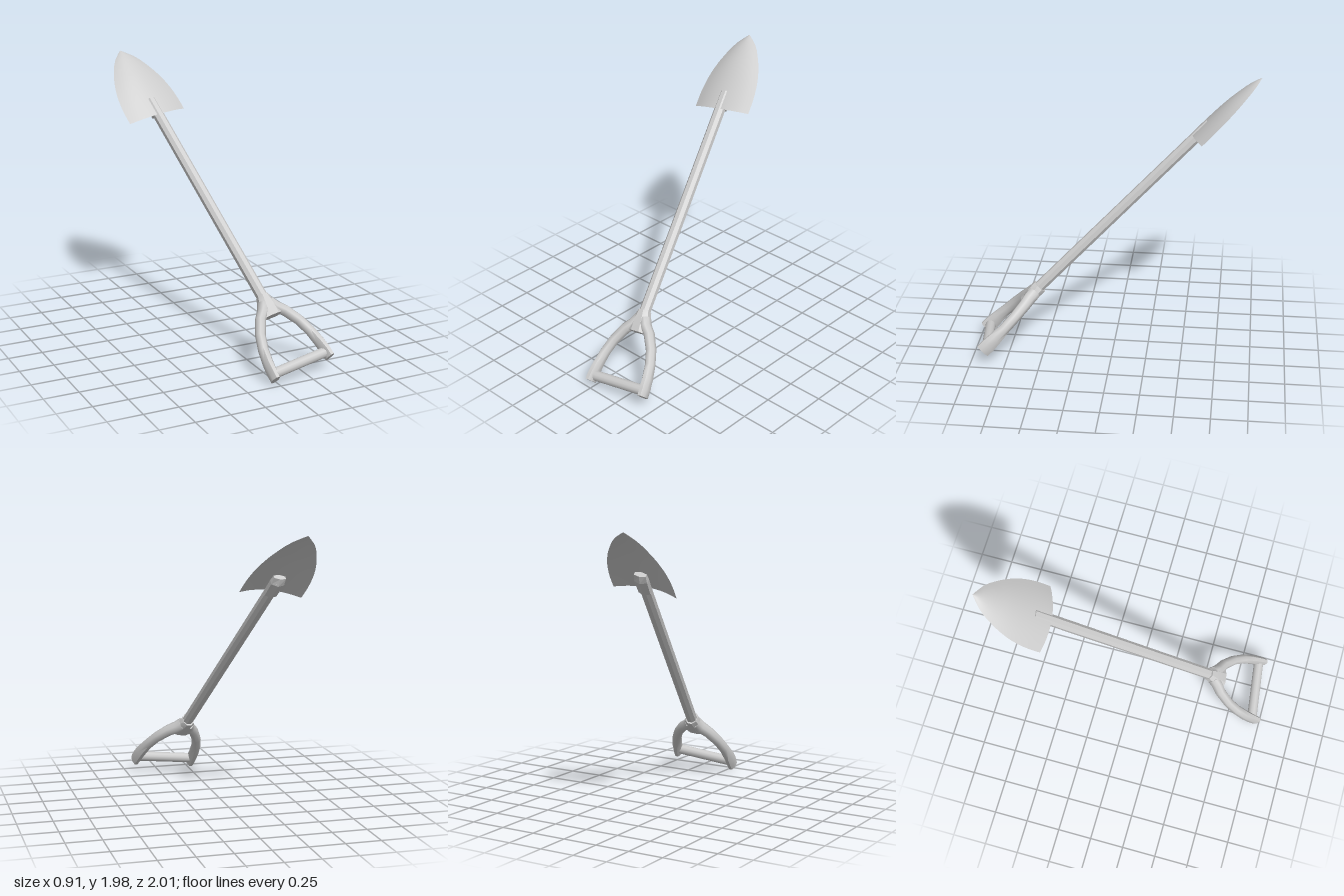
import * as THREE from 'three';
import { toCreasedNormals } from 'three/addons/utils/BufferGeometryUtils.js';

const material = new THREE.MeshStandardMaterial({ color: 0xcccccc });
const thinMaterial = new THREE.MeshStandardMaterial({ color: 0xcccccc, side: THREE.DoubleSide });

// Closed loft along a path in the xy plane; each station is [x, y, half width, half depth, z]
function loft(stations, sides, crease) {
  const pos = [], index = [], n = stations.length;
  stations.forEach(([x, y, rx, rz, z = 0], i) => {
    const a = stations[Math.max(i - 1, 0)], b = stations[Math.min(i + 1, n - 1)];
    const len = Math.hypot(b[0] - a[0], b[1] - a[1]);
    const tx = (b[0] - a[0]) / len, ty = (b[1] - a[1]) / len;
    for (let j = 0; j < sides; j++) {
      const ang = ((j + 0.5) / sides) * Math.PI * 2, c = rx * Math.cos(ang);
      pos.push(x + ty * c, y - tx * c, z + rz * Math.sin(ang));
    }
  });
  for (let i = 0; i < n - 1; i++) {
    for (let j = 0; j < sides; j++) {
      const k = (j + 1) % sides;
      const a = i * sides + j, b = i * sides + k, c = a + sides, d = b + sides;
      index.push(a, c, b, b, c, d);
    }
  }
  // end caps
  const last = (n - 1) * sides;
  for (let j = 1; j < sides - 1; j++) {
    index.push(0, j, j + 1, last, last + j + 1, last + j);
  }
  const geo = new THREE.BufferGeometry();
  geo.setAttribute('position', new THREE.Float32BufferAttribute(pos, 3));
  geo.setIndex(index);
  return toCreasedNormals(geo, crease);
}

// Pointed blade: a grid shaped by a half-width curve and arched across
function bladeGeometry() {
  const outline = new THREE.SplineCurve([
    [0.232, 0.812], [0.231, 0.93], [0.216, 1.045], [0.19, 1.14],
    [0.155, 1.225], [0.09, 1.34], [0, 1.426],
  ].map(([x, y]) => new THREE.Vector2(x, y)));
  const geo = new THREE.PlaneGeometry(2, 1, 10, 14);
  const p = geo.attributes.position;
  for (let i = 0; i < p.count; i++) {
    const s = p.getX(i), t = THREE.MathUtils.clamp(p.getY(i) + 0.5, 0, 1);
    const o = outline.getPoint(t), arch = 1 - s * s;
    p.setXYZ(i, s * o.x, o.y - 0.014 * arch * (1 - t), -0.024 + 0.054 * arch * (1 - t ** 4));
  }
  geo.computeVertexNormals();
  return geo;
}

export function createModel() {
  const model = new THREE.Group();
  model.name = 'shovel';

  // Built upright along y, then leaned back and tilted sideways
  const tool = new THREE.Group();
  tool.name = 'tool';
  tool.rotation.set(-Math.PI / 4, 0, 0.185);
  tool.position.set(-0.045, 0.994, 0.006);
  model.add(tool);

  const add = (name, geo, mat = material) => {
    const mesh = new THREE.Mesh(geo, mat);
    mesh.name = name;
    tool.add(mesh);
    return mesh;
  };

  add('blade', bladeGeometry(), thinMaterial);

  // Socket on the back of the blade
  add('bladeSocket', loft([
    [0, 0.81, 0.05, 0.036, -0.012],
    [0, 0.93, 0.055, 0.036, -0.012],
    [0, 0.98, 0.05, 0.02, -0.005],
  ], 6, 0.1));

  add('shaft', loft([[0, -0.8, 0.041, 0.041], [0, 0.942, 0.041, 0.041]], 8, 0.1));

  // Neck joining the shaft to the two handle legs
  add('handleNeck', loft([
    [0, -0.925, 0.085, 0.04],
    [0, -0.85, 0.078, 0.05],
    [0, -0.765, 0.045, 0.055],
  ], 8, 0.4));

  // Curved legs of the D handle, flared where they meet the grip
  for (const side of [1, -1]) {
    add(side > 0 ? 'leftHandleLeg' : 'rightHandleLeg', loft([
      [0.025, -0.82, 0.04, 0.05],
      [0.055, -0.87, 0.04, 0.048],
      [0.105, -0.92, 0.038, 0.044],
      [0.165, -1.02, 0.036, 0.041],
      [0.2, -1.12, 0.036, 0.041],
      [0.22, -1.22, 0.036, 0.05],
      [0.228, -1.29, 0.034, 0.056],
      [0.232, -1.345, 0.03, 0.054],
    ].map(([x, ...rest]) => [x * side, ...rest]), 8, 0.9));
  }

  // Cross grip
  const grip = add('grip', new THREE.CylinderGeometry(0.037, 0.037, 0.44, 12));
  grip.rotation.z = Math.PI / 2;
  grip.position.y = -1.3;

  return model;
}
